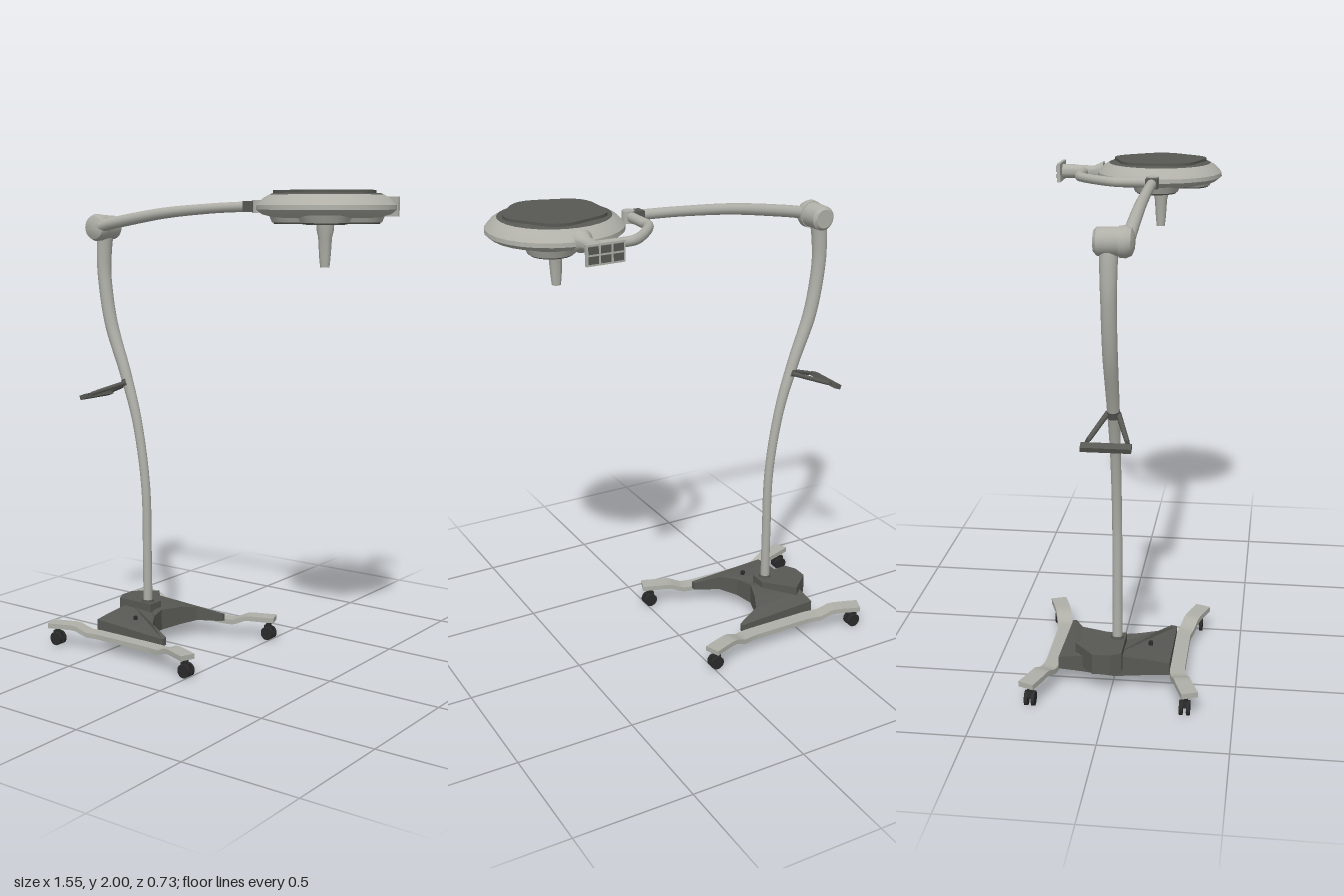
import * as THREE from 'three';
import { toCreasedNormals } from 'three/addons/utils/BufferGeometryUtils.js';

const V = (x, y, z) => new THREE.Vector3(x, y, z);

export function createModel() {
  const model = new THREE.Group();
  const material = (name, color) => {
    const m = new THREE.MeshStandardMaterial({ color });
    m.name = name;
    return m;
  };
  const light = material('light grey enamel', 0xb0b0a9);
  const dark = material('dark grey plastic', 0x585854);
  const black = material('black rubber', 0x2b2b2b);

  const add = (name, geometry, mat, pos = [0, 0, 0], parent = model) => {
    const mesh = new THREE.Mesh(geometry, mat);
    mesh.name = name;
    mesh.position.set(...pos);
    parent.add(mesh);
    return mesh;
  };
  // Tube along a smooth path, with radius going through the listed values
  const taperedTube = (points, radii, sides = 14, segs = 40, tension = 0.5) => {
    const curve = new THREE.CatmullRomCurve3(points, false, 'catmullrom', tension);
    const geo = new THREE.TubeGeometry(curve, segs, 1, sides);
    const p = geo.attributes.position, v = new THREE.Vector3();
    for (let i = 0; i < p.count; i++) {
      const u = Math.floor(i / (sides + 1)) / segs;
      const f = u * (radii.length - 1), k = Math.min(Math.floor(f), radii.length - 2);
      const r = THREE.MathUtils.lerp(radii[k], radii[k + 1], f - k);
      const c = curve.getPointAt(u);
      v.fromBufferAttribute(p, i).sub(c).multiplyScalar(r).add(c);
      p.setXYZ(i, v.x, v.y, v.z);
    }
    return geo;
  };
  // Flat slab from an outline of [x, z] points
  const slab = (outline, y0, y1) => {
    const shape = new THREE.Shape(outline.map(([x, z]) => new THREE.Vector2(x, -z)));
    return new THREE.ExtrudeGeometry(shape, { depth: y1 - y0, bevelEnabled: false })
      .rotateX(-Math.PI / 2).translate(0, y0, 0);
  };
  const lathe = (profile, sides = 32) => toCreasedNormals(
    new THREE.LatheGeometry(profile.map(([r, y]) => new THREE.Vector2(r, y)), sides), 0.6);

  // Base body: waisted plate whose top rises towards the column
  const hull = slab([
    [-0.57, -0.215], [-0.2, -0.215], [-0.2, -0.2], [-0.31, -0.155], [-0.35, -0.08], [-0.385, 0.01],
    [-0.36, 0.09], [-0.31, 0.165], [-0.2, 0.21], [-0.2, 0.235], [-0.57, 0.235], [-0.57, 0.16],
    [-0.57, 0.01], [-0.57, -0.14]], 0.055, 0.14);
  const hp = hull.attributes.position;
  for (let i = 0; i < hp.count; i++) {
    const z = Math.abs(hp.getZ(i) - 0.01), x = hp.getX(i);
    if (hp.getY(i) > 0.1) hp.setY(i, 0.148 - 0.13 * Math.max(0, z - 0.06) - (x > -0.25 ? 0.02 : 0));
    else hp.setY(i, 0.055 + 0.02 * Math.min(1, z / 0.2));
  }
  hull.computeVertexNormals();
  add('base body', hull, dark);
  add('base housing', slab([[-0.625, -0.07], [-0.53, -0.152], [-0.42, -0.03], [-0.42, 0.045],
    [-0.6, 0.045], [-0.625, 0.0]], 0.09, 0.175), dark);
  add('base button', new THREE.CylinderGeometry(0.01, 0.01, 0.015, 12), black, [-0.425, 0.137, 0.145]);

  // Curved runners with raised ends, and twin-wheel casters
  for (const side of [1, -1]) {
    const geo = new THREE.BoxGeometry(0.775, 0.022, 0.062, 30, 1, 1);
    const p = geo.attributes.position;
    for (let i = 0; i < p.count; i++) {
      const x = p.getX(i), z = p.getZ(i), d = Math.abs(x);
      const t = Math.max(0, (d - 0.14) / 0.25);
      const slope = 0.4 * Math.pow(t, 0.4) * Math.sign(x) * side;
      p.setXYZ(i, x - slope * z, p.getY(i) + 0.07 + 0.026 * THREE.MathUtils.smoothstep(d, 0.2, 0.275),
        z + side * (0.254 + 0.07 * Math.pow(t, 1.4)));
    }
    geo.computeVertexNormals();
    add(side > 0 ? 'front runner' : 'back runner', toCreasedNormals(geo, 0.5), light, [-0.375, 0, 0.009]);

    for (const x of [-0.737, -0.013]) {
      const caster = new THREE.Group();
      caster.name = 'caster';
      caster.position.set(x, 0, 0.005 + side * 0.306);
      model.add(caster);
      for (const z of [-0.014, 0.014]) {
        add('wheel', new THREE.CylinderGeometry(0.03, 0.03, 0.014, 18).rotateX(Math.PI / 2), black, [0, 0.03, z], caster);
      }
      add('caster stem', new THREE.CylinderGeometry(0.012, 0.012, 0.055, 10), black, [0, 0.06, 0], caster);
      add('caster hood', new THREE.BoxGeometry(0.045, 0.025, 0.014), black, [0, 0.05, 0], caster);
    }
  }

  // S-shaped column
  add('column', taperedTube([V(-0.463, 0.1, 0.012), V(-0.463, 0.4, 0.012), V(-0.468, 0.7, 0.012),
    V(-0.51, 0.98, 0.012), V(-0.575, 1.2, 0.012), V(-0.655, 1.42, 0.012), V(-0.69, 1.62, 0.012),
    V(-0.69, 1.75, 0.012), V(-0.677, 1.85, 0.012)],
  [0.021, 0.02, 0.02, 0.02, 0.021, 0.025, 0.029, 0.03, 0.036], 16, 60), light);
  add('column collar', new THREE.CylinderGeometry(0.026, 0.03, 0.03, 20), dark, [-0.463, 0.17, 0.012]);

  // Triangular push handle
  const handle = new THREE.Group();
  handle.name = 'push handle';
  model.add(handle);
  add('handle grip', new THREE.BoxGeometry(0.034, 0.02, 0.19).rotateZ(0.35), dark, [-0.754, 1.095, 0.008], handle);
  for (const side of [1, -1]) {
    add('handle arm', taperedTube([V(-0.755, 1.097, 0.01 + side * 0.085), V(-0.56, 1.168, 0.01 + side * 0.02)],
      [0.009, 0.011], 8, 4), dark, [0, 0, 0], handle);
  }
  add('handle clamp', new THREE.CylinderGeometry(0.025, 0.025, 0.03, 16).rotateZ(0.32), dark, [-0.566, 1.168, 0.012], handle);

  // Shoulder joint: rear drum and domed front cap
  const drum = lathe([[0, -0.042], [0.04, -0.042], [0.052, -0.03], [0.054, 0.055], [0, 0.055]], 24);
  add('shoulder drum', drum.rotateX(Math.PI / 2), light, [-0.677, 1.847, 0]);
  const cap = lathe([[0, 0.05], [0.057, 0.05], [0.059, 0.075], [0.05, 0.095], [0.03, 0.104], [0, 0.106]], 24);
  add('shoulder cap', cap.rotateX(Math.PI / 2), light, [-0.677, 1.847, 0]);

  // Boom arm
  add('boom arm', taperedTube([V(-0.66, 1.85, 0.079), V(-0.55, 1.872, 0.079), V(-0.3, 1.91, 0.079),
    V(-0.05, 1.93, 0.079), V(0.14, 1.938, 0.079)], [0.026, 0.025, 0.023, 0.021, 0.021]), light);
  add('elbow joint', new THREE.BoxGeometry(0.05, 0.042, 0.05), dark, [0.15, 1.938, 0.079]);
  add('elbow hub', new THREE.CylinderGeometry(0.026, 0.026, 0.05, 18), light, [0.186, 1.938, 0.079]);

  // Yoke reaching round behind the lamp
  add('yoke', taperedTube([V(0.182, 1.938, 0.08), V(0.182, 1.938, -0.03), V(0.185, 1.938, -0.09),
    V(0.25, 1.938, -0.18), V(0.32, 1.938, -0.245), V(0.38, 1.938, -0.256), V(0.5, 1.938, -0.256)],
  [0.021, 0.02, 0.02, 0.02], 12, 40), light);
  const spindle = lathe([[0, -0.36], [0.031, -0.36], [0.03, -0.3], [0.026, -0.27], [0.026, -0.21],
    [0.045, -0.17], [0, -0.17]], 20);
  add('spindle', spindle.rotateX(Math.PI / 2), light, [0.505, 1.938, 0]);
  add('end plate', new THREE.BoxGeometry(0.155, 0.08, 0.014), light, [0.503, 1.938, -0.358]);
  for (const x of [-0.05, 0, 0.05]) {
    for (const y of [-0.018, 0.018]) {
      add('end plate recess', new THREE.BoxGeometry(0.04, 0.028, 0.004), dark, [0.503 + x, 1.938 + y, -0.366]);
    }
  }

  // Lamp head
  const lamp = new THREE.Group();
  lamp.name = 'lamp head';
  lamp.position.set(0.503, 0, 0.077);
  model.add(lamp);
  add('lamp shell', lathe([[0, 1.895], [0.2, 1.896], [0.248, 1.908], [0.271, 1.926], [0.27, 1.943],
    [0.245, 1.97], [0.222, 1.983]], 28), light, [0, 0, 0], lamp);
  add('lamp top cover', lathe([[0.223, 1.982], [0.21, 1.988], [0.12, 1.993], [0, 1.994]], 28), dark, [0, 0, 0], lamp);
  const lobes = Array.from({ length: 40 }, (_, i) => {
    const a = i / 40 * Math.PI * 2, r = 0.196 + 0.01 * Math.cos(5 * a);
    return [r * Math.cos(a), r * Math.sin(a)];
  });
  add('lamp top panel', slab(lobes, 1.986, 2.0), dark, [0, 0, 0], lamp);

  // Three lenses set around the sterile grip
  for (let i = 0; i < 3; i++) {
    const a = Math.PI + i * Math.PI * 2 / 3;
    const pos = [0.142 * Math.cos(a), 0, 0.142 * Math.sin(a)];
    add('lens rim', lathe([[0, 1.877], [0.092, 1.877], [0.104, 1.905]], 24), light, pos, lamp);
    add('lens', new THREE.CylinderGeometry(0.088, 0.084, 0.008, 24), dark, [pos[0], 1.875, pos[2]], lamp);
  }
  add('lamp grip', lathe([[0, 1.705], [0.018, 1.705], [0.022, 1.74], [0.027, 1.82], [0.034, 1.85],
    [0.036, 1.9]], 20), light, [0, 0, 0.006], lamp);

  return model;
}
